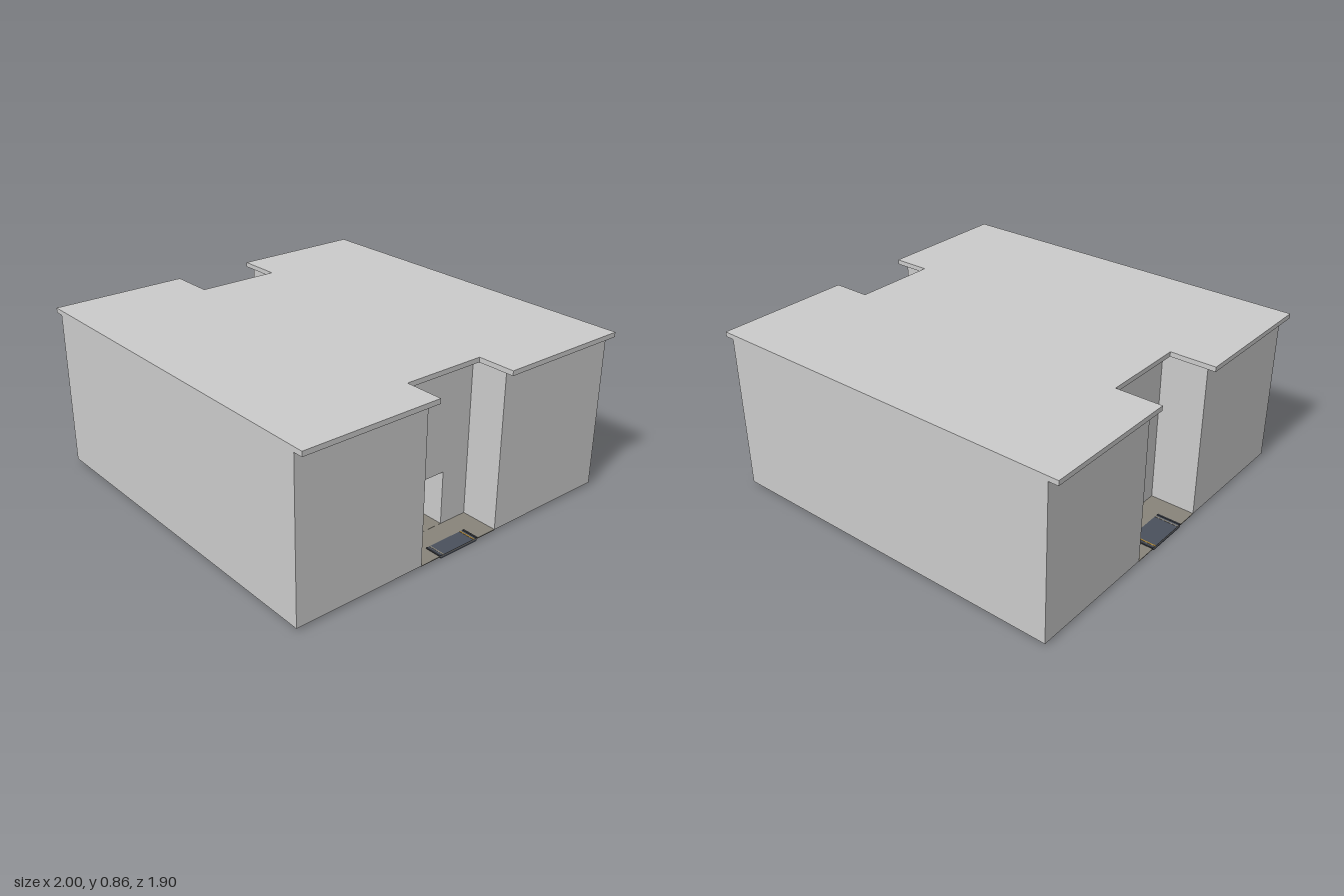
import * as THREE from 'three';

const mat = (color) => new THREE.MeshStandardMaterial({ color, flatShading: true });

export function createModel() {
  const group = new THREE.Group();
  const grey = mat(0xcccccc), floorMat = mat(0x88847a), dark = mat(0x4a505c);
  const edgeMat = mat(0x303338), yellow = mat(0xb08a3c);

  const add = (name, geometry, material) => {
    const mesh = new THREE.Mesh(geometry, material);
    mesh.name = name;
    group.add(mesh);
    return mesh;
  };
  // box given by its extents on each axis
  const box = (name, [x0, x1], [y0, y1], [z0, z1], material) => {
    const mesh = add(name, new THREE.BoxGeometry(x1 - x0, y1 - y0, z1 - z0), material);
    mesh.position.set((x0 + x1) / 2, (y0 + y1) / 2, (z0 + z1) / 2);
    return mesh;
  };

  const BASE = 0.013, EAVE = 0.83, TOP = 0.855;
  const xRight = -0.71, xLeft = 0.75; // entrance recess walls

  // front and back wings
  box('frontWing', [-0.95, 0.95], [BASE, EAVE], [0.24, 0.95], grey);
  box('backWing', [-0.95, 0.95], [BASE, EAVE], [-0.95, -0.24], grey);

  // middle block with a passage running through it along x
  const portal = new THREE.Shape([
    [-0.24, BASE], [-0.08, BASE], [-0.08, 0.295], [0.08, 0.295],
    [0.08, BASE], [0.24, BASE], [0.24, EAVE], [-0.24, EAVE],
  ].map(([z, y]) => new THREE.Vector2(z, y)));
  const middle = new THREE.ExtrudeGeometry(portal, { depth: xLeft - xRight, bevelEnabled: false });
  middle.rotateY(Math.PI / 2).translate(xRight, 0, 0);
  add('passageBlock', middle, grey);

  // overhanging roof slab, notched above both entrances
  const plan = new THREE.Shape([
    [-1, -0.95], [1, -0.95], [1, -0.22], [0.8, -0.22], [0.8, 0.225], [1, 0.225],
    [1, 0.95], [-1, 0.95], [-1, 0.225], [-0.76, 0.225], [-0.76, -0.22], [-1, -0.22],
  ].map(([x, y]) => new THREE.Vector2(x, y)));
  const roof = new THREE.ExtrudeGeometry(plan, { depth: TOP - EAVE, bevelEnabled: false });
  roof.rotateX(-Math.PI / 2).translate(0, EAVE, 0);
  add('roof', roof, grey);

  // entrance floors and passage floor
  box('leftEntranceFloor', [xLeft, 0.95], [0.01, 0.014], [-0.24, 0.24], floorMat);
  box('rightEntranceFloor', [-0.95, xRight], [0.01, 0.014], [-0.24, 0.24], floorMat);
  box('passageFloor', [xRight, xLeft], [0.006, 0.015], [-0.085, 0.085], floorMat);

  // thin rails under the passage
  for (const s of [-1, 1]) {
    box('passageRail', [-0.82, 0.86], [0.004, 0.013], [s * 0.11 - 0.008, s * 0.11 + 0.008], floorMat);
  }

  // threshold mats with tapered sides, dark rims and yellow lines
  const matSection = new THREE.Shape([
    new THREE.Vector2(-0.115, 0), new THREE.Vector2(0.115, 0),
    new THREE.Vector2(0.125, 0.016), new THREE.Vector2(-0.125, 0.016),
  ]);
  for (const [x0, x1] of [[-0.95, -0.82], [0.86, 0.95]]) {
    const geo = new THREE.ExtrudeGeometry(matSection, { depth: x1 - x0, bevelEnabled: false });
    add('thresholdMat', geo.rotateY(Math.PI / 2).translate(x0, 0, 0), dark);
    for (const s of [-1, 1]) {
      box('matRim', [x0, x1], [0.014, 0.018], [s * 0.12 - 0.005, s * 0.12 + 0.005], edgeMat);
      box('matLine', [x0, x1], [0.014, 0.017], [s * 0.1 - 0.004, s * 0.1 + 0.004], s < 0 ? yellow : floorMat);
    }
  }
  return group;
}
